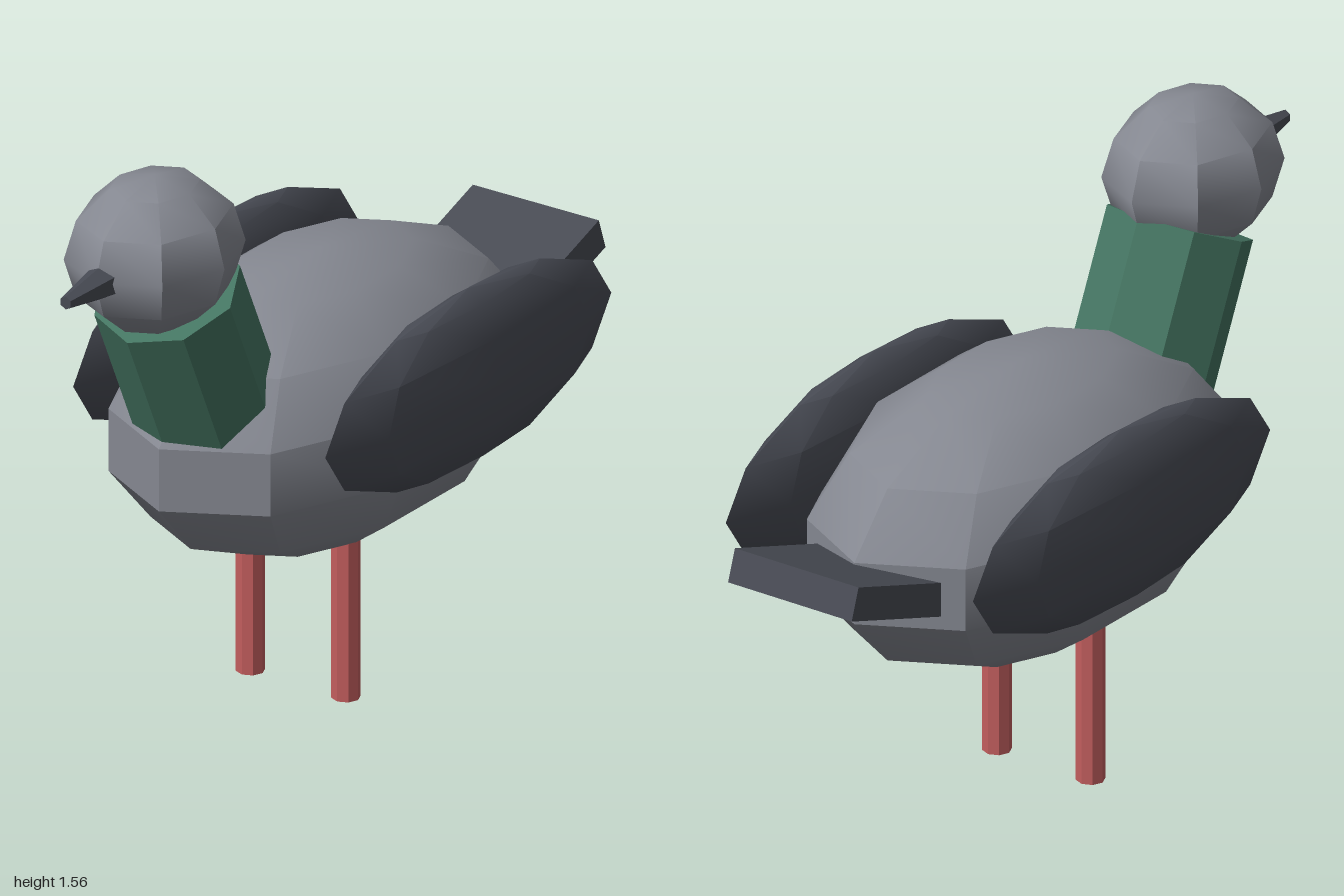
import * as THREE from 'three';
import { toCreasedNormals } from 'three/addons/utils/BufferGeometryUtils.js';

const CREASE = THREE.MathUtils.degToRad(35);

function colour(name, hex) {
  const m = new THREE.MeshStandardMaterial({ color: hex });
  m.name = name;
  return m;
}

// Low-poly ellipsoid with vertices on the z axis
function ellipsoid(rx, ry, rz, around, rows) {
  const g = new THREE.SphereGeometry(1, around, rows);
  g.rotateY(Math.PI / 2);
  g.scale(rx, ry, rz);
  return g;
}

export function createModel() {
  const bird = new THREE.Group();
  bird.name = 'bird';

  const grey = colour('grey feathers', 0x858891);
  const dark = colour('dark feathers', 0x484b54);
  const green = colour('green neck', 0x457562);
  const pink = colour('pink legs', 0xc25e5e);

  function part(name, geometry, material, x, y, z, tilt = 0) {
    const mesh = new THREE.Mesh(toCreasedNormals(geometry, CREASE), material);
    mesh.name = name;
    mesh.position.set(x, y, z);
    mesh.rotation.x = tilt;
    bird.add(mesh);
    return mesh;
  }

  // Body and head
  part('body', ellipsoid(0.415, 0.367, 0.692, 10, 7), grey, 0, 0.745, -0.065);
  part('head', ellipsoid(0.205, 0.198, 0.247, 8, 6), grey, 0, 1.358, 0.627);

  // Neck leaning forward
  const lean = THREE.MathUtils.degToRad(25);
  part('neck', new THREE.CylinderGeometry(0.185, 0.185, 0.41, 8), green,
    0, 1.155 * Math.cos(lean), 1.155 * Math.sin(lean), lean);

  // Tapered beak
  part('beak', new THREE.CylinderGeometry(0.017, 0.047, 0.17, 6), dark,
    0, 1.353, 0.915, Math.PI / 2);

  // Raised tail slab
  part('tail', new THREE.BoxGeometry(0.37, 0.085, 0.4), dark,
    0, 0.797, -0.797, THREE.MathUtils.degToRad(19));

  // Wings and legs
  for (const [side, s] of [['left', 1], ['right', -1]]) {
    part(side + 'Wing', ellipsoid(0.09, 0.23, 0.6, 8, 6), dark, s * 0.37, 0.836, -0.16);
    part(side + 'Leg', new THREE.CylinderGeometry(0.036, 0.036, 0.46, 8), pink, s * 0.14, 0.23, 0.025);
  }

  return bird;
}
